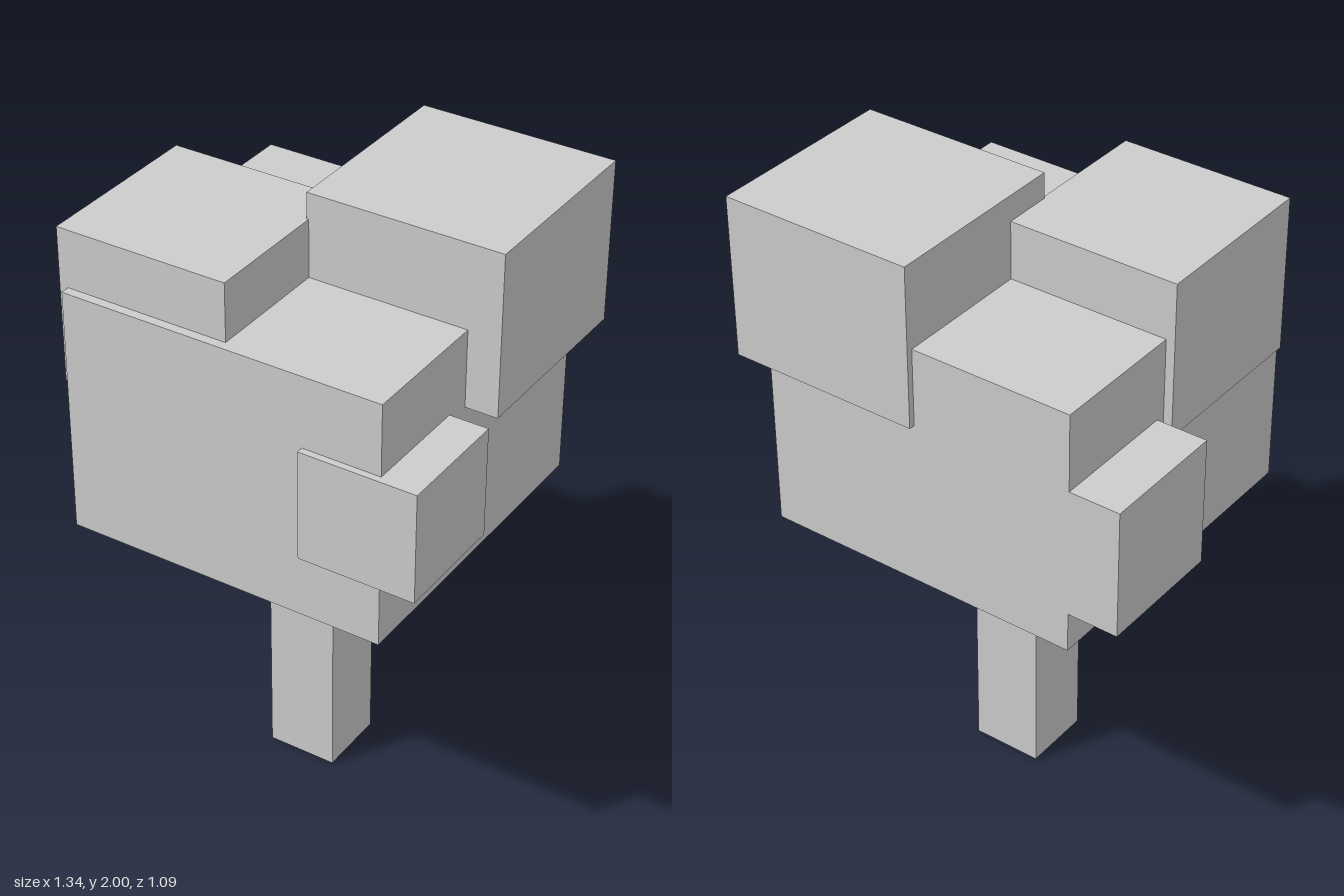
import * as THREE from 'three';

// Box given by its limits on each axis, open underneath
function openBox([x0, x1], [y0, y1], [z0, z1]) {
  const g = new THREE.BoxGeometry(x1 - x0, y1 - y0, z1 - z0);
  const index = Array.from(g.index.array);
  index.splice(18, 6); // drop the bottom face
  g.setIndex(index);
  g.clearGroups();
  g.translate((x0 + x1) / 2, (y0 + y1) / 2, (z0 + z1) / 2);
  return g;
}

export function createModel() {
  const tree = new THREE.Group();
  tree.name = 'blockTree';
  const grey = new THREE.MeshStandardMaterial({ color: 0xcccccc, side: THREE.DoubleSide });
  grey.name = 'plainGrey';

  function add(name, geometry) {
    const mesh = new THREE.Mesh(geometry, grey);
    mesh.name = name;
    tree.add(mesh);
    return mesh;
  }

  // Trunk and leaf blocks: limits in x, y and z
  const blocks = {
    trunk: [[-0.095, 0.133], [0, 1.08], [-0.114, 0.114]],
    mainLeaves: [[-0.508, 0.545], [0.93, 1.73], [-0.527, 0.525]],
    tallLeaves: [[0.02, 0.65], [1.478, 2], [-0.547, 0.082]],
    upperLeaves: [[-0.537, 0.027], [1.413, 1.917], [-0.077, 0.495]],
    sideLeaves: [[-0.673, -0.25], [1.06, 1.48], [-0.527, -0.108]],
    frontLeaves: [[0.292, 0.67], [1.142, 1.5], [0.168, 0.547]],
  };
  for (const [name, limits] of Object.entries(blocks)) add(name, openBox(...limits));

  // Leaning branches
  const leftBranch = add('leftBranch', new THREE.BoxGeometry(0.135, 0.374, 0.135));
  leftBranch.position.set(0.213, 0.772, -0.042);
  leftBranch.rotation.z = -0.488;

  const rightBranch = add('rightBranch', new THREE.BoxGeometry(0.12, 0.37, 0.135));
  rightBranch.position.set(-0.1, 0.894, -0.006);
  rightBranch.rotation.set(-0.354, 0, 0.185);

  return tree;
}
